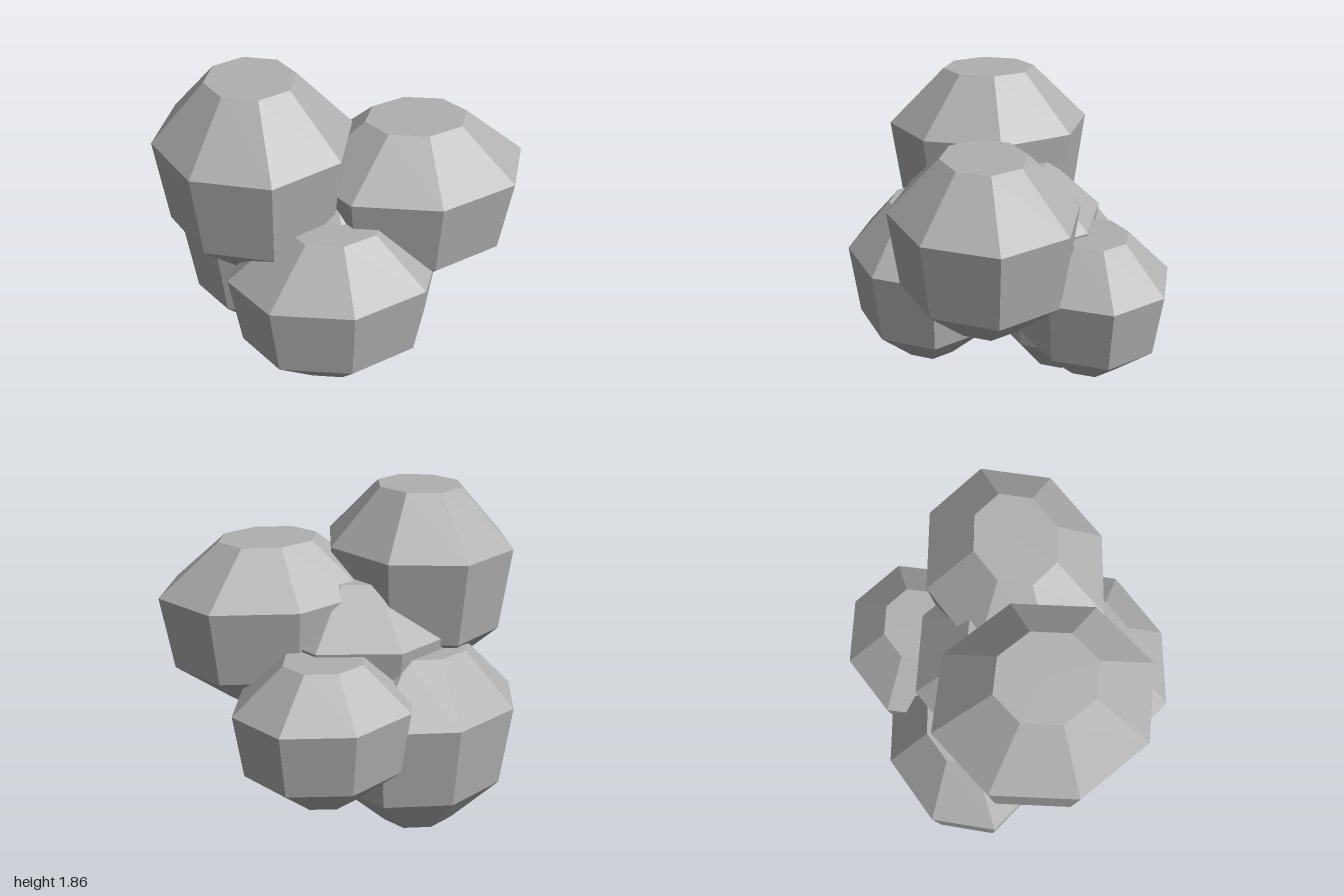
import * as THREE from 'three';

export function createModel() {
  const model = new THREE.Group();
  const grey = new THREE.MeshStandardMaterial({ color: 0xb0b0b0, flatShading: true });
  grey.name = 'stone grey';

  // Shared faceted clump: eight sides, unit radius, unit height, base at y = 0
  const profile = [[0, 0], [0.385, 0], [0.9, 0.266], [1, 0.706], [0.45, 1], [0, 1]]
    .map(([r, y]) => new THREE.Vector2(r, y));
  const clumpGeometry = new THREE.LatheGeometry(profile, 8);

  // name, centre x, base y, centre z, radius x, height, radius z
  const clumps = [
    ['upperLeftClump', -0.47, 0.805, 0.02, 0.53, 1.055, 0.58],
    ['upperRightClump', 0.375, 0.68, 0.15, 0.62, 0.93, 0.505],
    ['frontClump', -0.13, 0.265, 0.435, 0.575, 0.925, 0.447],
    ['backRightClump', 0.285, 0.31, -0.453, 0.5, 0.8, 0.435],
    ['backLeftClump', -0.325, 0, -0.383, 0.56, 1.062, 0.445],
    ['coreClump', -0.1, 0.45, -0.025, 0.59, 0.956, 0.55],
  ];

  for (const [name, x, y, z, rx, height, rz] of clumps) {
    const clump = new THREE.Mesh(clumpGeometry, grey);
    clump.name = name;
    clump.position.set(x, y, z);
    clump.scale.set(rx, height, rz);
    model.add(clump);
  }
  return model;
}
